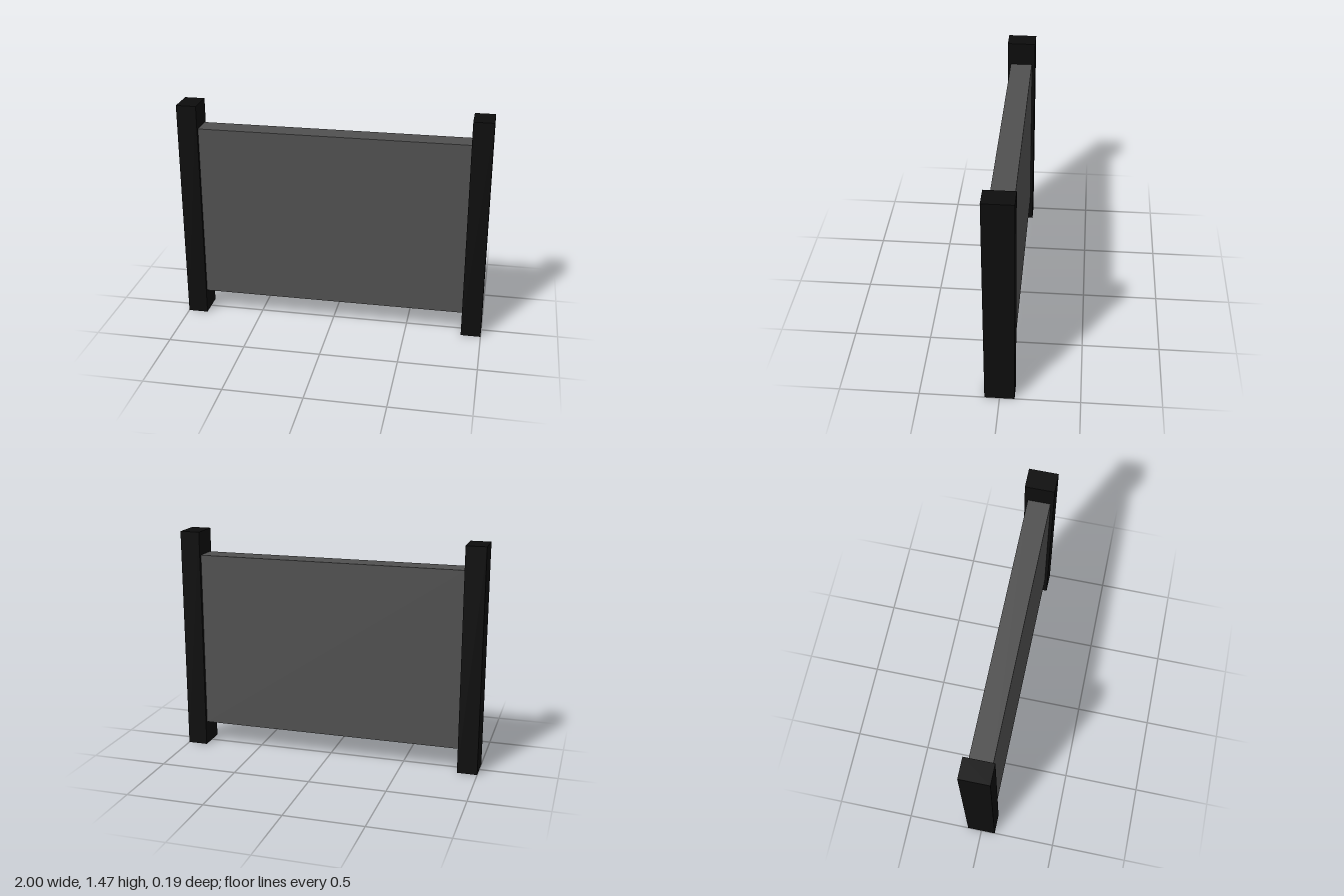
import * as THREE from 'three';

const POST = { w: 0.13, h: 1.473, d: 0.187 };
const PANEL = { bottom: 0.157, top: 1.318, d: 0.145 };

function box(name, w, h, d, x, y, material) {
  const mesh = new THREE.Mesh(new THREE.BoxGeometry(w, h, d), material);
  mesh.name = name;
  mesh.position.set(x, y, 0);
  return mesh;
}

export function createModel() {
  const model = new THREE.Group();
  model.name = 'panelBarrier';
  const black = new THREE.MeshStandardMaterial({ color: 0x0d0d0d });
  const grey = new THREE.MeshStandardMaterial({ color: 0x505050 });

  // Square end posts; the right one has a grey underside
  const underside = [black, black, black, grey, black, black];
  const postX = 1 - POST.w / 2;
  model.add(box('leftPost', POST.w, POST.h, POST.d, postX, POST.h / 2, black));
  model.add(box('rightPost', POST.w, POST.h, POST.d, -postX, POST.h / 2, underside));

  // Thick panel held between the posts
  model.add(box('panel', 2 - 2 * POST.w, PANEL.top - PANEL.bottom, PANEL.d,
    0, (PANEL.top + PANEL.bottom) / 2, grey));

  return model;
}
